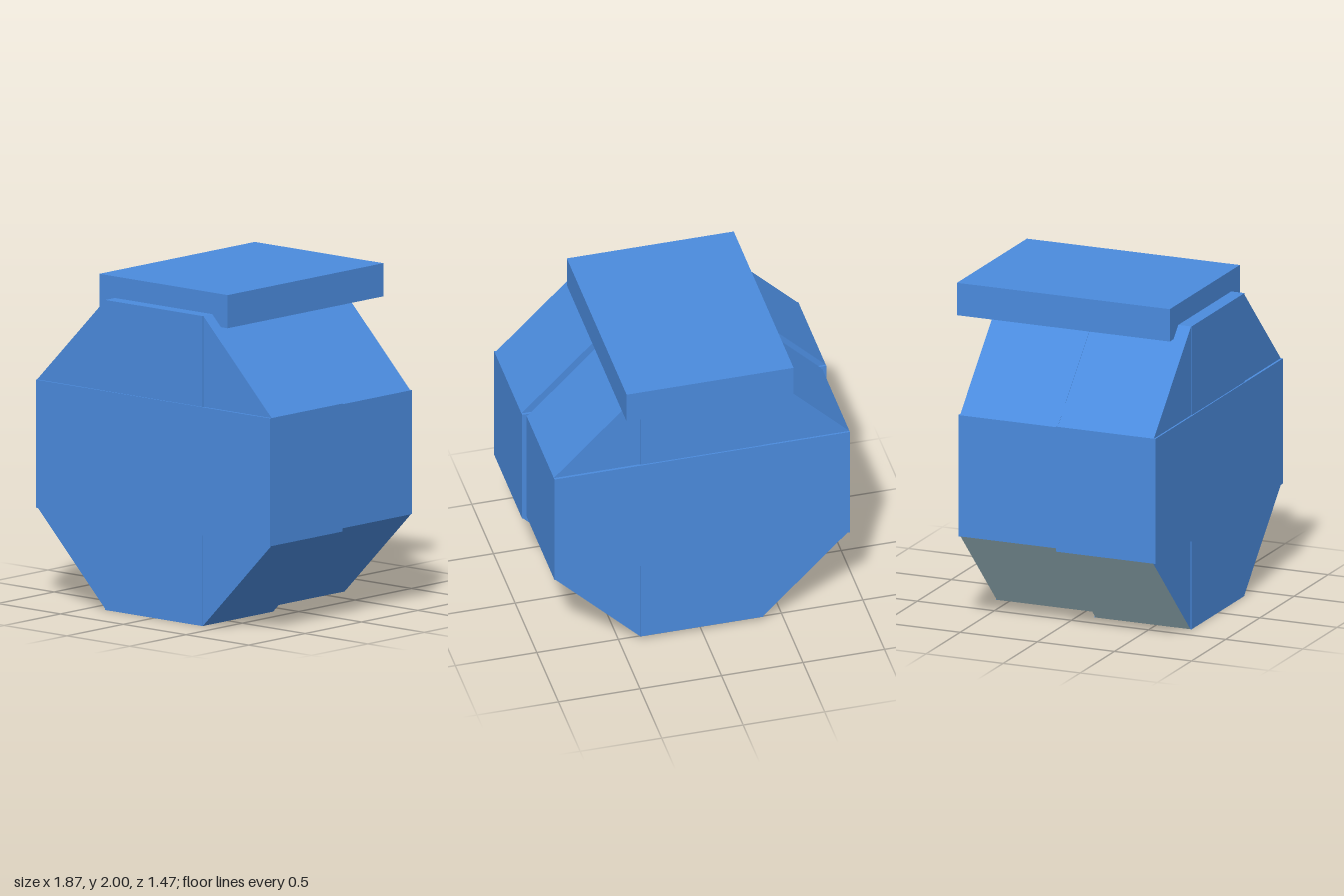
import * as THREE from 'three';

export function createModel() {
  const blue = new THREE.MeshStandardMaterial({ color: 0x4b8bdd });
  blue.name = 'blue';
  const grey = new THREE.MeshStandardMaterial({ color: 0xafcfd8 });
  grey.name = 'pale grey';

  const model = new THREE.Group();
  model.name = 'octagonalBody';

  function box(parent, name, w, y0, y1, z0, z1, material) {
    const mesh = new THREE.Mesh(new THREE.BoxGeometry(w, y1 - y0, z1 - z0), material);
    mesh.position.set(0, (y0 + y1) / 2, (z0 + z1) / 2);
    mesh.name = name;
    parent.add(mesh);
  }

  // Triangular corner filling the gap between the column and the band
  function wedge(parent, name, sx, sy, inner, outer, yIn, yOut, z0, z1) {
    const shape = new THREE.Shape([
      new THREE.Vector2(sx * inner, yIn),
      new THREE.Vector2(sx * outer, yIn),
      new THREE.Vector2(sx * inner, yOut),
    ]);
    const geometry = new THREE.ExtrudeGeometry(shape, { depth: z1 - z0, bevelEnabled: false });
    geometry.translate(0, 0, z0);
    const slope = sx < 0 && sy < 0 ? grey : blue;
    const mesh = new THREE.Mesh(geometry, [blue, slope]);
    mesh.name = name;
    parent.add(mesh);
  }

  // Octagonal drum: wide band, tall column and four corner wedges
  function drum(name, inner, outer, [bottom, low, high, top], z0, z1) {
    const group = new THREE.Group();
    group.name = name;
    box(group, 'band', outer * 2, low, high, z0, z1, blue);
    box(group, 'column', inner * 2, bottom, top, z0 + 0.009, z1 - 0.008,
      [blue, blue, blue, grey, blue, blue]);
    for (const sx of [-1, 1]) {
      for (const sy of [-1, 1]) {
        const inset = sx === sy ? 0.015 : 0.011;
        wedge(group, (sy > 0 ? 'upper' : 'lower') + (sx > 0 ? 'Left' : 'Right') + 'Wedge',
          sx, sy, inner, outer, sy > 0 ? high : low, sy > 0 ? top : bottom,
          z0 + inset, z1 - inset);
      }
    }
    model.add(group);
  }

  drum('frontDrum', 0.388, 0.933, [0, 0.55, 1.322, 1.87], 0.092, 0.737);
  drum('rearDrum', 0.377, 0.906, [0.03, 0.562, 1.31, 1.842], -0.554, 0.1);

  // Flat slab on top
  box(model, 'topSlab', 1.024, 1.8, 2, -0.737, 0.643, blue);

  return model;
}
